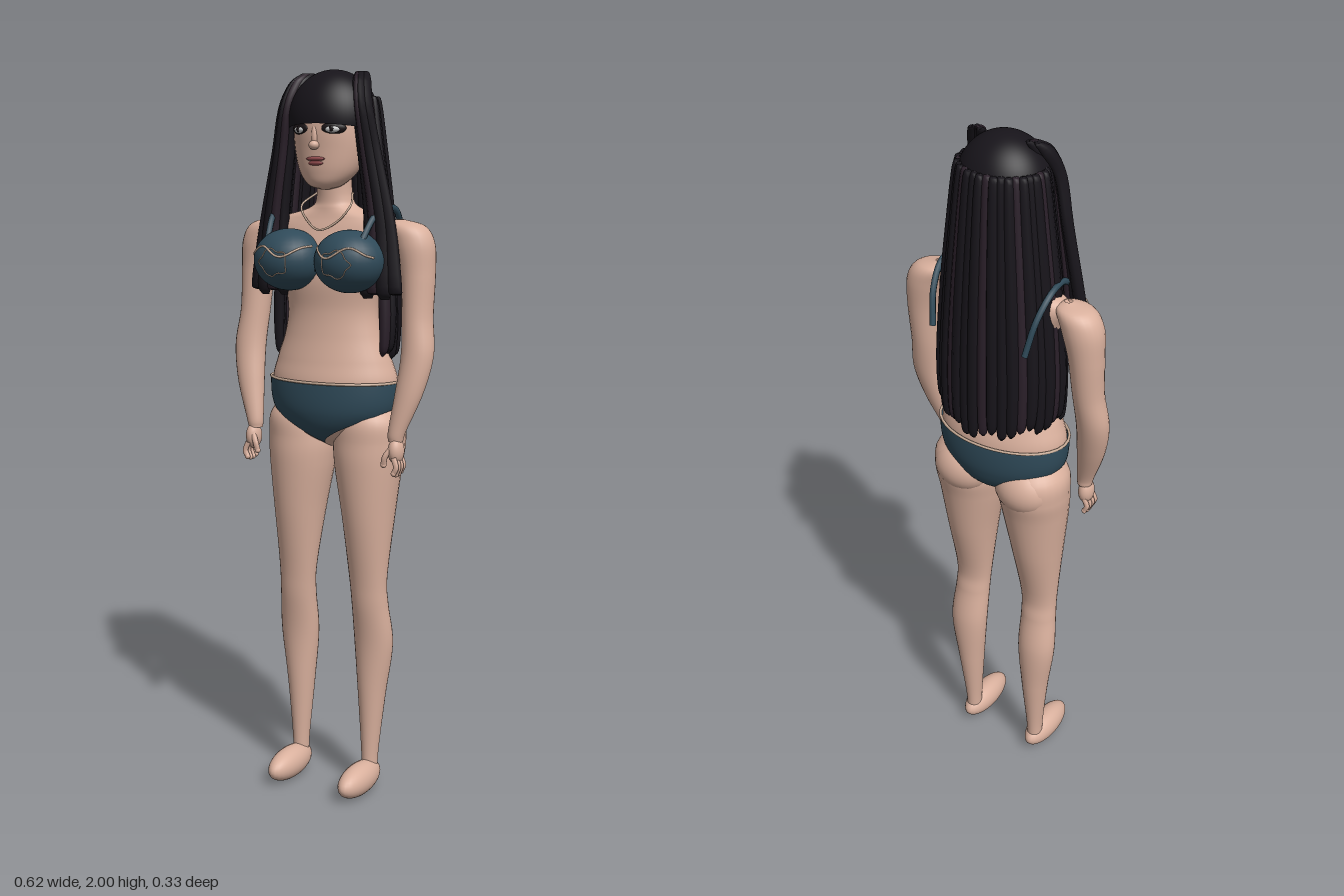
import * as THREE from 'three';
import { ParametricGeometry } from 'three/addons/geometries/ParametricGeometry.js';

const mat = (c) => new THREE.MeshStandardMaterial({ color: c, side: THREE.DoubleSide });
const skin = mat(0xd9b09d), hair = mat(0x17141a), hairWarm = mat(0x2a1f29), cloth = mat(0x2f4a59);
const trim = mat(0xc9ad98), white = mat(0xeeeeee), dark = mat(0x1a1416), lips = mat(0x8e4a4c);
const V = (p) => new THREE.Vector3(...p);

function mesh(name, geo, material, parent) {
  const m = new THREE.Mesh(geo, material);
  m.name = name;
  parent.add(m);
  return m;
}

// Curves through [x, y, z, rx, rz] sections, listed from bottom to top
function profile(sections) {
  const centre = new THREE.CatmullRomCurve3(sections.map((s) => V(s.slice(0, 3))), false, 'catmullrom', 0.5);
  const radius = new THREE.CatmullRomCurve3(sections.map((s) => V([s[3], s[4], 0])), false, 'catmullrom', 0.5);
  return (t) => [centre.getPoint(t), radius.getPoint(t)];
}

// Smooth body of horizontal elliptical rings, each turned by yaw
function loft(name, sections, material, parent, sides = 28, rows = 40, yaw = 0) {
  const at = profile(sections), c = Math.cos(yaw), s = Math.sin(yaw);
  const geo = new ParametricGeometry((u, v, out) => {
    const [p, r] = at(v), a = u * Math.PI * 2;
    const x = Math.max(r.x, 0.0005) * Math.sin(a), z = Math.max(r.y, 0.0005) * Math.cos(a);
    out.set(p.x + x * c + z * s, p.y, p.z - x * s + z * c);
  }, sides, rows);
  return mesh(name, geo, material, parent);
}

function ball(name, pos, radii, material, parent) {
  const m = mesh(name, new THREE.SphereGeometry(1, 28, 20), material, parent);
  m.position.set(...pos);
  m.scale.set(...radii);
  return m;
}

function tube(name, pts, r, material, parent, closed = false) {
  const curve = new THREE.CatmullRomCurve3(pts.map(V), closed);
  return mesh(name, new THREE.TubeGeometry(curve, 40, r, 6, closed), material, parent);
}

// Builds the +x side, then mirrors it
function pair(name, root, build) {
  const left = new THREE.Group();
  left.name = name + 'Left';
  build(left);
  const right = left.clone();
  right.name = name + 'Right';
  right.scale.x = -1;
  root.add(left, right);
}

export function createModel() {
  const root = new THREE.Group();
  root.name = 'figure';

  // Torso and neck
  const torso = [
    [0, 0.99, 0, 0.01, 0.01], [0, 1.03, -0.01, 0.10, 0.085], [0, 1.09, -0.01, 0.172, 0.115],
    [0, 1.17, -0.01, 0.187, 0.118], [0, 1.23, -0.008, 0.172, 0.105], [0, 1.30, 0, 0.145, 0.084],
    [0, 1.37, 0, 0.135, 0.078], [0, 1.45, 0, 0.15, 0.082], [0, 1.53, -0.01, 0.175, 0.082],
    [0, 1.585, -0.015, 0.20, 0.07], [0, 1.615, -0.015, 0.165, 0.06], [0, 1.64, -0.012, 0.075, 0.052],
    [0, 1.67, -0.01, 0.05, 0.048], [0, 1.76, 0, 0.047, 0.048],
  ];
  loft('torso', torso, skin, root, 40, 90);

  // Briefs: a shell over the hips with high leg openings
  const hips = profile(torso);
  const hipAt = (y) => {
    let lo = 0, hi = 0.5;
    for (let i = 0; i < 24; i++) {
      const m = (lo + hi) / 2;
      if (hips(m)[0].y < y) lo = m; else hi = m;
    }
    return hips(lo);
  };
  const briefs = new ParametricGeometry((u, v, out) => {
    const a = u * Math.PI * 2, side = Math.abs(Math.sin(a));
    const low = 1.003 + 0.1 * Math.pow(side, 1.1), y = low + (1.178 - low) * v;
    const [p, r] = hipAt(y);
    out.set((r.x + 0.006) * Math.sin(a), y, p.z + (r.y + 0.008) * Math.cos(a));
  }, 64, 20);
  mesh('briefs', briefs, cloth, root);
  const band = [];
  for (let i = 0; i < 24; i++) {
    const a = i / 24 * Math.PI * 2;
    band.push([0.192 * Math.sin(a), 1.178, -0.01 + 0.126 * Math.cos(a)]);
  }
  tube('waistbandTrim', band, 0.004, trim, root, true);

  pair('leg', root, (g) => {
    loft('leg', [
      [0.115, 0.05, -0.01, 0.022, 0.025], [0.115, 0.12, -0.012, 0.025, 0.028], [0.117, 0.28, -0.018, 0.040, 0.040],
      [0.121, 0.43, -0.02, 0.057, 0.045], [0.117, 0.55, -0.004, 0.054, 0.043], [0.114, 0.63, 0.002, 0.056, 0.045],
      [0.110, 0.80, -0.005, 0.074, 0.075], [0.105, 0.94, -0.012, 0.094, 0.093], [0.105, 1.01, -0.02, 0.1, 0.1],
      [0.11, 1.07, -0.02, 0.09, 0.095], [0.11, 1.12, -0.015, 0.05, 0.06],
    ], skin, g, 28, 60);
    ball('foot', [0.115, 0.045, 0.051], [0.041, 0.045, 0.101], skin, g);
    ball('buttock', [0.1, 1.035, -0.062], [0.085, 0.075, 0.068], skin, g);
  });

  pair('arm', root, (g) => {
    loft('arm', [
      [0.222, 1.03, 0.052, 0.02, 0.02], [0.226, 1.06, 0.05, 0.025, 0.023], [0.25, 1.16, 0.03, 0.039, 0.034],
      [0.263, 1.26, 0.01, 0.045, 0.040], [0.255, 1.36, -0.005, 0.042, 0.043], [0.25, 1.47, -0.014, 0.047, 0.048],
      [0.237, 1.55, -0.016, 0.056, 0.053], [0.215, 1.595, -0.016, 0.05, 0.045], [0.195, 1.612, -0.016, 0.01, 0.01],
    ], skin, g, 24, 50);
    ball('palm', [0.226, 1.005, 0.056], [0.021, 0.036, 0.027], skin, g);
    for (let i = 0; i < 4; i++) {
      const z = 0.037 + i * 0.014;
      tube('finger', [[0.23, 0.99, z], [0.239, 0.965, z + 0.002], [0.232, 0.942 + 0.004 * Math.abs(i - 1.5), z + 0.002]], 0.0075, skin, g);
      ball('fingertip', [0.232, 0.942 + 0.004 * Math.abs(i - 1.5), z + 0.002], [0.0075, 0.008, 0.0075], skin, g);
    }
    tube('thumb', [[0.22, 1.015, 0.07], [0.205, 0.99, 0.08], [0.2, 0.968, 0.078]], 0.008, skin, g);
    ball('thumbTip', [0.2, 0.968, 0.078], [0.008, 0.008, 0.008], skin, g);
  });

  // Top: cups, edge trim, lace lines and shoulder straps
  const c = [0.094, 1.503, 0.075], r = [0.098, 0.083, 0.089];
  const onCup = (x, y) => [c[0] + x * r[0], c[1] + y * r[1], c[2] + Math.sqrt(Math.max(0, 1 - x * x - y * y)) * r[2]];
  pair('top', root, (g) => {
    ball('cup', c, r, cloth, g);
    const edge = [], lace = [];
    for (let i = 0; i <= 12; i++) {
      const x = -0.86 + i * 0.148;
      edge.push(onCup(x, 0.3 + 0.16 * Math.cos(i * 0.75)));
      const a = i / 13 * Math.PI * 2, k = 0.42 + 0.06 * Math.cos(a * 5);
      lace.push(onCup(k * Math.cos(a), k * Math.sin(a) - 0.05));
    }
    tube('cupTrim', edge, 0.003, trim, g);
    tube('lace', lace, 0.0015, trim, g, true);
    tube('strap', [[0.145, 1.56, 0.1], [0.155, 1.615, 0.06], [0.16, 1.642, 0.01], [0.164, 1.635, -0.05],
      [0.155, 1.58, -0.1], [0.14, 1.49, -0.128]], 0.009, cloth, g);
  });
  ball('topBridge', [0, 1.49, 0.085], [0.025, 0.018, 0.012], cloth, root);
  tube('necklace', [[-0.055, 1.68, -0.01], [-0.075, 1.645, 0.04], [-0.045, 1.605, 0.058], [0, 1.583, 0.072],
    [0.045, 1.605, 0.058], [0.075, 1.645, 0.04], [0.055, 1.68, -0.01]], 0.003, trim, root);

  // Head and face
  loft('head', [
    [0, 1.688, 0.04, 0.01, 0.01], [0, 1.70, 0.038, 0.046, 0.042], [0, 1.735, 0.022, 0.08, 0.069],
    [0, 1.79, 0.008, 0.1, 0.088], [0, 1.85, 0, 0.106, 0.1], [0, 1.91, -0.004, 0.1, 0.095],
    [0, 1.96, -0.005, 0.065, 0.065], [0, 1.975, -0.005, 0.01, 0.01],
  ], skin, root, 36, 40);
  ball('nose', [0, 1.803, 0.1], [0.014, 0.012, 0.015], skin, root);
  ball('noseBridge', [0, 1.825, 0.095], [0.009, 0.03, 0.01], skin, root);
  ball('upperLip', [0, 1.768, 0.092], [0.028, 0.006, 0.009], lips, root);
  ball('lowerLip', [0, 1.757, 0.089], [0.023, 0.007, 0.009], lips, root);
  pair('face', root, (g) => {
    ball('eyeShadow', [0.05, 1.846, 0.083], [0.033, 0.016, 0.011], dark, g).rotation.y = 0.42;
    ball('eye', [0.05, 1.843, 0.089], [0.02, 0.009, 0.009], white, g).rotation.y = 0.42;
    ball('iris', [0.049, 1.844, 0.096], [0.007, 0.008, 0.004], dark, g);
    ball('ear', [0.103, 1.805, -0.008], [0.014, 0.034, 0.022], skin, g);
  });

  // Hair cap with a fringe, open over the face
  const cap = new ParametricGeometry((u, v, out) => {
    const a = u * Math.PI * 2, f = Math.cos(a);
    const low = f > 0.5 ? -0.012 - 0.012 * Math.pow(Math.abs(Math.sin(a)), 2) : -0.05;
    const phi = Math.asin(low / 0.13), e = phi + (Math.PI / 2 - 0.002 - phi) * v;
    const k = Math.cos(e);
    out.set(0.124 * k * Math.sin(a), 1.87 + 0.13 * Math.sin(e), -0.005 + 0.113 * k * f);
  }, 64, 24);
  mesh('hairCap', cap, hair, root);

  // Long locks fanned round the back of the head
  const locks = 23;
  for (let i = 0; i < locks; i++) {
    const a = (i / (locks - 1) - 0.5) * 3.5, sx = Math.sin(a), cz = -Math.cos(a);
    const end = 1.205 + 0.02 * ((i * 7) % 4) / 3 + 0.03 * Math.abs(sx), out = 0.004 * (i % 2);
    const at = (y, rx, rz, w, d) => [sx * (rx + out), y, -0.012 + cz * (rz + out), w, d];
    loft('backLock', [
      at(end, 0.160, 0.135, 0.004, 0.004), at(end + 0.03, 0.168, 0.138, 0.014, 0.012), at(1.4, 0.168, 0.132, 0.018, 0.016),
      at(1.6, 0.152, 0.122, 0.018, 0.015), at(1.8, 0.128, 0.108, 0.015, 0.013), at(1.915, 0.114, 0.098, 0.012, 0.01),
      at(1.93, 0.11, 0.094, 0.002, 0.002),
    ], i % 4 === 2 ? hairWarm : hair, root, 8, 24, Math.atan2(sx, cz));
  }

  // Side bunches falling in front of the shoulders
  pair('hairBunch', root, (g) => {
    for (let i = 0; i < 4; i++) {
      const k = i - 1.5, z = -0.01 * Math.abs(k);
      loft('frontLock', [
        [0.172 + k * 0.028, 1.405 + 0.012 * (i % 2), 0.055 + z, 0.012, 0.008], [0.171 + k * 0.027, 1.44, 0.062 + z, 0.021, 0.016],
        [0.163 + k * 0.019, 1.6, 0.054 + z, 0.017, 0.015], [0.133 + k * 0.013, 1.78, 0.055 + z, 0.015, 0.015],
        [0.112 + k * 0.011, 1.9, 0.056 + z, 0.013, 0.018], [0.095 + k * 0.009, 1.965, 0.03 + z, 0.013, 0.022],
        [0.083 + k * 0.008, 1.99, 0.008 + z, 0.008, 0.012], [0.082 + k * 0.008, 1.991, 0.008 + z, 0.001, 0.001],
      ], i === 1 ? hairWarm : hair, g, 8, 28, 0.3);
    }
  });
  return root;
}
